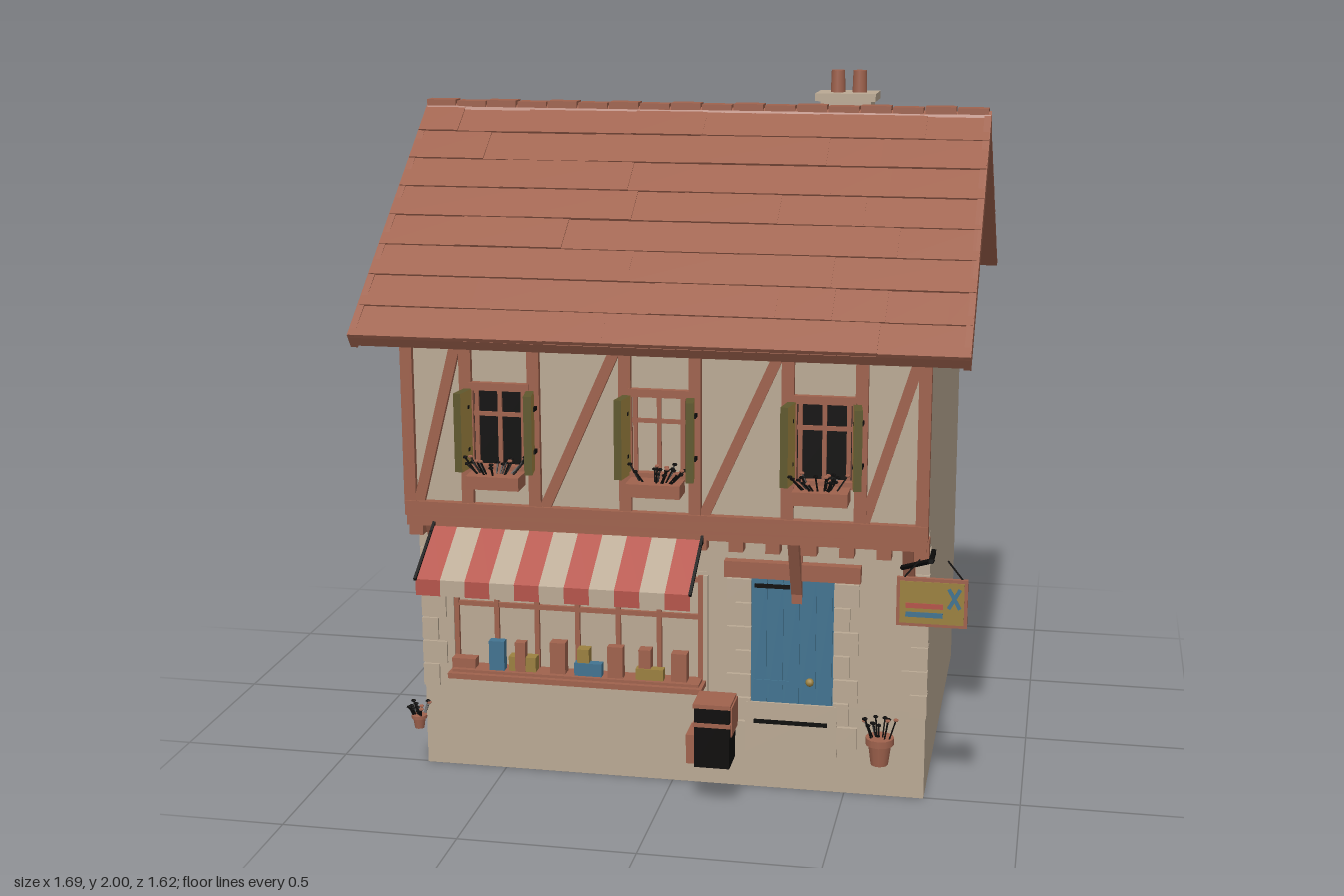
import * as THREE from 'three';

const paint = (name, color) => {
  const m = new THREE.MeshStandardMaterial({ color });
  m.name = name;
  return m;
};

export function createModel() {
  const plaster = paint('plaster', 0xbaa994);
  const clay = paint('clay', 0x9f624d);
  const blue = paint('doorBlue', 0x427390);
  const red = paint('awningRed', 0xb5544a);
  const black = paint('ironBlack', 0x0c0b0a);
  const gold = paint('gold', 0x9b803f);
  const olive = paint('olive', 0x5f582e);
  const clothRed = red.clone(), cloth = plaster.clone();
  clothRed.side = cloth.side = THREE.DoubleSide;

  const house = new THREE.Group();
  house.name = 'timberShopHouse';
  const add = (name, geo, mat, parent = house) => {
    const m = new THREE.Mesh(geo, mat);
    m.name = name;
    parent.add(m);
    return m;
  };
  // Box given by its limits on each axis
  const box = (name, x0, x1, y0, y1, z0, z1, mat, parent) => {
    const m = add(name, new THREE.BoxGeometry(x1 - x0, y1 - y0, z1 - z0), mat, parent);
    m.position.set((x0 + x1) / 2, (y0 + y1) / 2, (z0 + z1) / 2);
    return m;
  };
  // Square bar between two points
  const bar = (name, a, b, w, d, mat) => {
    const p = new THREE.Vector3(...a), dir = new THREE.Vector3(...b).sub(p);
    const m = add(name, new THREE.BoxGeometry(w, dir.length(), d), mat);
    m.position.copy(p).addScaledVector(dir, 0.5);
    m.quaternion.setFromUnitVectors(new THREE.Vector3(0, 1, 0), dir.normalize());
    return m;
  };
  let seed = 7;
  const rnd = () => (seed = (seed * 16807) % 2147483647) / 2147483647;

  // Ground floor and the storey above, which is open at the back
  const L = -0.74, R = 0.727;
  box('plinth', L, R, 0, 0.26, -0.69, 0.505, plaster);
  box('groundFloor', L, R, 0.26, 0.81, -0.69, 0.505, plaster);
  box('upperFloor', L, R, 0.795, 0.812, -0.69, 0.615, plaster);
  box('upperFrontWall', L, R, 0.8, 1.34, 0.6, 0.615, plaster);
  const gable = new THREE.Shape();
  [[-0.615, 0.8], [0.69, 0.8], [0.69, 1.34], [0, 1.865], [-0.6, 1.345], [-0.615, 1.33]]
    .forEach(([a, b], i) => (i ? gable.lineTo(a, b) : gable.moveTo(a, b)));
  for (const x of [L, R - 0.014]) {
    const g = add('gableWall', new THREE.ExtrudeGeometry(gable, { depth: 0.014, bevelEnabled: false }), plaster);
    g.rotation.y = Math.PI / 2;
    g.position.x = x;
  }

  // Roof slopes: staggered courses of tiles; local z runs down the slope
  const slope = (name, z0, y0, dz, dy, thick, turn) => {
    const g = new THREE.Group();
    g.name = name;
    g.rotation.order = 'YXZ';
    g.rotation.set(Math.atan2(dy, dz), turn, 0);
    g.position.set(-0.005, y0, z0);
    house.add(g);
    const len = Math.hypot(dz, dy), rows = 8, step = len / rows;
    box('roofSheet', -0.84, 0.84, -thick, -0.008, 0, len, clay, g);
    for (let r = 0; r < rows; r++) {
      for (let x = -0.84; x < 0.839;) {
        let end = Math.min(0.84, x + 0.12 + rnd() * 0.28);
        if (0.84 - end < 0.06) end = 0.84;
        const lift = rnd() * 0.004;
        const t = box('roofTile', x, end, -0.012 + lift, lift, r * step, Math.min(len, (r + 1) * step + 0.006), clay, g);
        t.rotation.x = -0.04;
        x = end;
      }
    }
    return { g, len };
  };
  const front = slope('frontRoof', -0.005, 1.9, 0.762, 0.565, 0.02, 0);
  slope('backRoof', 0.01, 1.893, 0.812, 0.553, 0.014, Math.PI);
  for (const x of [-0.842, 0.822]) box('bargeBoard', x, x + 0.02, -0.047, 0.002, 0, front.len, clay, front.g);
  box('eavesBoard', -0.84, 0.84, -0.04, -0.01, front.len - 0.015, front.len, clay, front.g);
  for (let i = 0; i < 18; i++) {
    const x = -0.845 + i * 0.0933;
    box('ridgeTile', x, x + 0.088, 1.88, 1.912 - (i % 2) * 0.003, -0.045, 0.008, clay);
  }

  // Chimney
  box('chimneyStack', 0.325, 0.475, 1.7, 1.915, -0.255, -0.14, plaster);
  box('chimneyCap', 0.31, 0.49, 1.912, 1.935, -0.27, -0.13, plaster);
  for (const x of [0.37, 0.435]) {
    add('chimneyPot', new THREE.CylinderGeometry(0.02, 0.022, 0.07, 14), clay).position.set(x, 1.965, -0.2);
  }

  // Timber frame
  for (const x of [-0.726, -0.557, -0.363, -0.105, 0.09, 0.345, 0.545, 0.713])
    box('timberPost', x - 0.017, x + 0.017, 0.83, 1.33, 0.605, 0.632, clay);
  for (const [x0, x1] of [[-0.7, -0.58], [-0.335, -0.125], [0.115, 0.325], [0.555, 0.7]])
    bar('timberBrace', [x0, 0.84, 0.622], [x1, 1.31, 0.622], 0.03, 0.016, clay);
  box('topBeam', L, R + 0.003, 1.3, 1.34, 0.6, 0.634, clay);
  box('sillBeam', L, R + 0.003, 0.8, 0.842, 0.6, 0.638, clay);
  box('lowerBeam', L, R, 0.768, 0.8, 0.59, 0.625, clay);
  for (let i = 0; i < 15; i++) {
    const x = -0.715 + i * 0.102;
    box('joistEnd', x - 0.02, x + 0.02, 0.738, 0.8, 0.58, 0.62, clay);
  }
  for (const x of [-0.675, -0.375, -0.01, 0.36, 0.675]) {
    bar('bracketBrace', [x, 0.6, 0.515], [x, 0.785, 0.605], 0.03, 0.028, clay);
    box('bracketPost', x - 0.015, x + 0.015, 0.565, 0.79, 0.5, 0.522, clay);
  }

  // Twiggy plants
  const plant = (x, y, z, spread, tall, n) => {
    for (let i = 0; i < n; i++) {
      const u = rnd() - 0.5, v = rnd() - 0.5, h = tall * (0.5 + rnd() * 0.5);
      bar('plantStem', [x + u * spread * 0.6, y, z + v * 0.03], [x + u * spread, y + h, z + v * 0.06], 0.004, 0.004, black);
      const leaf = add('plantLeaf', new THREE.IcosahedronGeometry(0.008, 0), i % 4 ? black : clay);
      leaf.position.set(x + u * spread, y + h, z + v * 0.06);
      leaf.scale.y = 0.6;
    }
  };

  // Upper windows with open shutters and flower boxes
  [-0.46, -0.01, 0.445].forEach((x, i) => {
    const y0 = 0.95, y1 = 1.18, w = 0.085;
    box('windowPane', x - w, x + w, y0, y1, 0.613, 0.619, i === 1 ? plaster : black);
    for (const s of [-1, 1]) {
      box('windowJamb', x + s * w - 0.01, x + s * w + 0.01, y0, y1, 0.612, 0.632, clay);
      box('windowStile', x + s * 0.066 - 0.006, x + s * 0.066 + 0.006, y0, y1, 0.615, 0.626, clay);
      const sh = box('shutter', x + s * 0.094 - 0.011, x + s * 0.094 + 0.011, y0, 1.172, 0.632, 0.702,
        [gold, gold, olive, olive, olive, olive]);
      sh.rotation.y = s * 0.15;
      for (const y of [1.0, 1.12]) box('shutterHinge', x + s * 0.094 - 0.014, x + s * 0.094 + 0.014, y, y + 0.01, 0.628, 0.66, black);
    }
    box('windowHead', x - w, x + w, y1 - 0.012, y1 + 0.01, 0.612, 0.634, clay);
    box('windowSill', x - w, x + w, y0 - 0.012, y0 + 0.008, 0.612, 0.645, clay);
    box('windowMullion', x - 0.006, x + 0.006, y0, y1, 0.615, 0.626, clay);
    box('windowTransom', x - w, x + w, 1.095, 1.107, 0.615, 0.626, clay);
    box('flowerBox', x - 0.075, x + 0.075, 0.908, 0.945, 0.645, 0.72, clay);
    plant(x, 0.943, 0.685, 0.17, 0.05, 18);
  });

  // Shop window
  box('shopGlass', -0.645, 0.1, 0.3, 0.64, 0.503, 0.509, plaster);
  for (let i = 0; i < 7; i++) {
    const x = -0.635 + i * 0.12;
    box('shopMullion', x - 0.007, x + 0.007, 0.31, 0.63, 0.505, 0.52, clay);
  }
  for (const y of [0.5, 0.61]) box('shopTransom', -0.64, 0.09, y, y + 0.014, 0.505, 0.519, clay);
  for (const x of [-0.665, 0.085]) box('shopJamb', x, x + 0.02, 0.27, 0.63, 0.5, 0.515, plaster);
  box('shopSill', -0.645, 0.1, 0.3, 0.316, 0.505, 0.59, clay);
  box('sillApron', -0.655, 0.105, 0.268, 0.3, 0.5, 0.513, plaster);
  // Goods: x, width, height, material
  [[-0.605, 0.07, 0.03, clay], [-0.505, 0.045, 0.09, blue], [-0.43, 0.08, 0.045, gold], [-0.435, 0.03, 0.09, clay],
    [-0.325, 0.045, 0.095, clay], [-0.235, 0.08, 0.04, blue], [-0.25, 0.035, 0.08, gold], [-0.155, 0.045, 0.095, clay],
    [-0.07, 0.035, 0.09, clay], [-0.055, 0.08, 0.035, gold], [0.03, 0.045, 0.085, clay]]
    .forEach(([x, w, h, m], i) => {
      box('shopGoods', x - w / 2, x + w / 2, 0.322, 0.322 + h, 0.525 + (i % 2) * 0.012, 0.56 + (i % 2) * 0.004, m);
    });
  box('goodsShelf', -0.635, 0.09, 0.316, 0.324, 0.51, 0.575, clay);

  // Striped awning with iron arms
  const strip = (name, x0, x1, ya, za, yb, zb, mat) => {
    const g = new THREE.BufferGeometry();
    g.setAttribute('position', new THREE.Float32BufferAttribute(
      [x0, ya, za, x0, yb, zb, x1, yb, zb, x1, ya, za], 3));
    g.setIndex([0, 1, 2, 0, 2, 3]);
    g.computeVertexNormals();
    add(name, g, mat);
  };
  for (let i = 0; i < 11; i++) {
    const x0 = -0.66 + i * 0.07, m = i % 2 ? cloth : clothRed;
    strip('awningStripe', x0, x0 + 0.07, 0.772, 0.635, 0.668, 0.803, m);
    strip('awningValance', x0, x0 + 0.07, 0.668, 0.803, 0.622, 0.803, m);
  }
  for (const x of [-0.66, 0.11]) {
    bar('awningArm', [x, 0.78, 0.62], [x, 0.668, 0.808], 0.008, 0.008, black);
    bar('awningStay', [x, 0.765, 0.51], [x, 0.76, 0.66], 0.006, 0.006, black);
  }

  // Door with step, lintel and stone surround
  box('door', 0.23, 0.465, 0.262, 0.645, 0.5, 0.511, blue);
  for (let i = 0; i < 5; i++) {
    const x = 0.232 + i * 0.0465;
    box('doorPlank', x, x + 0.043, 0.265, 0.643, 0.505, 0.516, blue);
  }
  for (const y of [0.605, 0.32]) box('doorHinge', 0.24, 0.34, y, y + 0.012, 0.514, 0.519, y > 0.5 ? black : blue);
  add('doorKnob', new THREE.SphereGeometry(0.012, 10, 8), gold).position.set(0.4, 0.335, 0.525);
  box('doorStep', 0.215, 0.478, 0.11, 0.263, 0.5, 0.518, plaster);
  box('stepGrating', 0.24, 0.45, 0.2, 0.212, 0.516, 0.521, black);
  box('doorLintel', 0.155, 0.54, 0.637, 0.684, 0.5, 0.535, clay);
  for (let i = 0; i < 7; i++) {
    const y = 0.135 + i * 0.071, w = i % 2 ? 0.045 : 0.07;
    box('doorStone', 0.23 - w, 0.23, y, y + 0.066, 0.498, 0.517, plaster);
    box('doorStone', 0.465, 0.465 + w, y, y + 0.066, 0.498, 0.517, plaster);
    const c = i % 2 ? 0.07 : 0.045, yc = y + 0.11;
    box('cornerStone', L - 0.003, L + c, yc, yc + 0.066, 0.42 + c, 0.513, plaster);
    box('cornerStone', R - c, R + 0.003, yc, yc + 0.066, 0.42 + c, 0.513, plaster);
  }

  // Hanging sign
  box('signBoard', 0.655, 0.845, 0.585, 0.72, 0.692, 0.705, clay);
  box('signFace', 0.664, 0.836, 0.594, 0.711, 0.7, 0.708, gold);
  box('signStripe', 0.68, 0.78, 0.612, 0.626, 0.704, 0.71, blue);
  box('signStripe', 0.68, 0.78, 0.637, 0.651, 0.704, 0.71, red);
  for (const s of [-1, 1]) bar('signEmblem', [0.81 - s * 0.015, 0.64, 0.708], [0.81 + s * 0.015, 0.695, 0.708], 0.01, 0.004, blue);
  bar('signArm', [0.745, 0.765, 0.6], [0.745, 0.77, 0.71], 0.012, 0.012, black);
  bar('signArm', [0.66, 0.72, 0.62], [0.75, 0.77, 0.7], 0.01, 0.01, black);
  for (const x of [0.675, 0.83]) bar('signWire', [x, 0.72, 0.698], [x > 0.7 ? 0.79 : 0.715, 0.77, 0.698], 0.004, 0.004, black);

  // Crates and flowerpots by the front
  box('crateFront', 0.1, 0.2, 0.13, 0.31, 0.6, 0.7, black);
  box('crateLid', 0.097, 0.203, 0.25, 0.262, 0.597, 0.703, clay);
  box('crateTop', 0.097, 0.203, 0.305, 0.317, 0.597, 0.703, clay);
  box('crateSide', 0.203, 0.207, 0.225, 0.31, 0.6, 0.7, clay);
  box('crateSide', 0.075, 0.1, 0.135, 0.22, 0.6, 0.69, clay);
  for (const [x, r, h, z] of [[0.607, 0.035, 0.08, 0.585], [-0.745, 0.02, 0.04, 0.56]]) {
    add('flowerPot', new THREE.CylinderGeometry(r, r * 0.7, h, 12), clay).position.set(x, 0.13 + h / 2, z);
    add('potRim', new THREE.CylinderGeometry(r * 1.15, r * 1.15, h * 0.25, 12), clay).position.set(x, 0.13 + h * 0.88, z);
    plant(x, 0.13 + h, z, r * 3, h * 0.8, 12);
  }
  return house;
}
